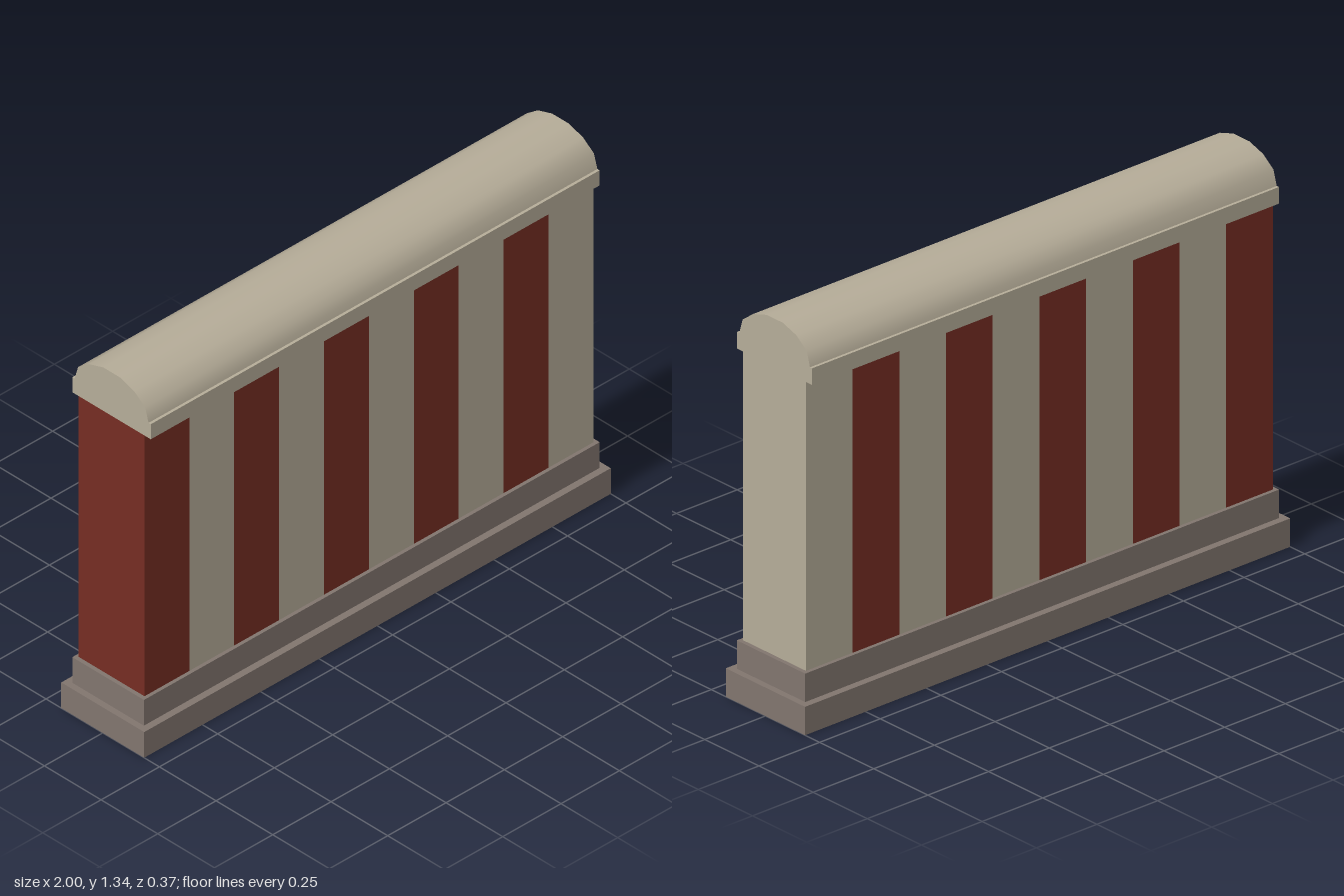
import * as THREE from 'three';
import { toCreasedNormals } from 'three/addons/utils/BufferGeometryUtils.js';

const material = (name, color) => {
  const m = new THREE.MeshStandardMaterial({ color });
  m.name = name;
  return m;
};

export function createModel() {
  const cream = material('cream stone', 0xb5ac98);
  const red = material('dark red', 0x752d23);
  const grey = material('grey stone', 0x81756e);

  const model = new THREE.Group();
  model.name = 'stripedWall';

  const add = (name, geometry, mat) => {
    const mesh = new THREE.Mesh(geometry, mat);
    mesh.name = name;
    model.add(mesh);
    return mesh;
  };
  // Box placed by its centre x and its bottom and top heights
  const block = (name, x, y0, y1, width, depth, mat) =>
    add(name, new THREE.BoxGeometry(width, y1 - y0, depth), mat).position.set(x, (y0 + y1) / 2, 0);

  // Stepped plinth
  block('lowerPlinth', 0, 0, 0.097, 2, 0.366, grey);
  block('upperPlinth', 0, 0.097, 0.194, 1.954, 0.316, grey);

  // Wall of alternating vertical stripes
  const length = 1.924, count = 10, step = length / count;
  for (let i = 0; i < count; i++) {
    const x = -length / 2 + (i + 0.5) * step;
    block(`wallStripe${i + 1}`, x, 0.194, 1.18, step, 0.29, i % 2 ? cream : red);
  }

  // Coping: a square ledge with a rounded top, run along the wall
  const half = [[0.173, 1.18], [0.173, 1.237], [0.163, 1.237], [0.148, 1.288], [0.1, 1.324], [0.037, 1.344]];
  const mirrored = half.map(([z, y]) => [-z, y]).reverse();
  const profile = new THREE.Shape([...half, ...mirrored].map(([z, y]) => new THREE.Vector2(z, y)));
  const coping = new THREE.ExtrudeGeometry(profile, { depth: length, bevelEnabled: false });
  coping.translate(0, 0, -length / 2).rotateY(Math.PI / 2);
  add('coping', toCreasedNormals(coping, 0.75), cream);

  return model;
}
